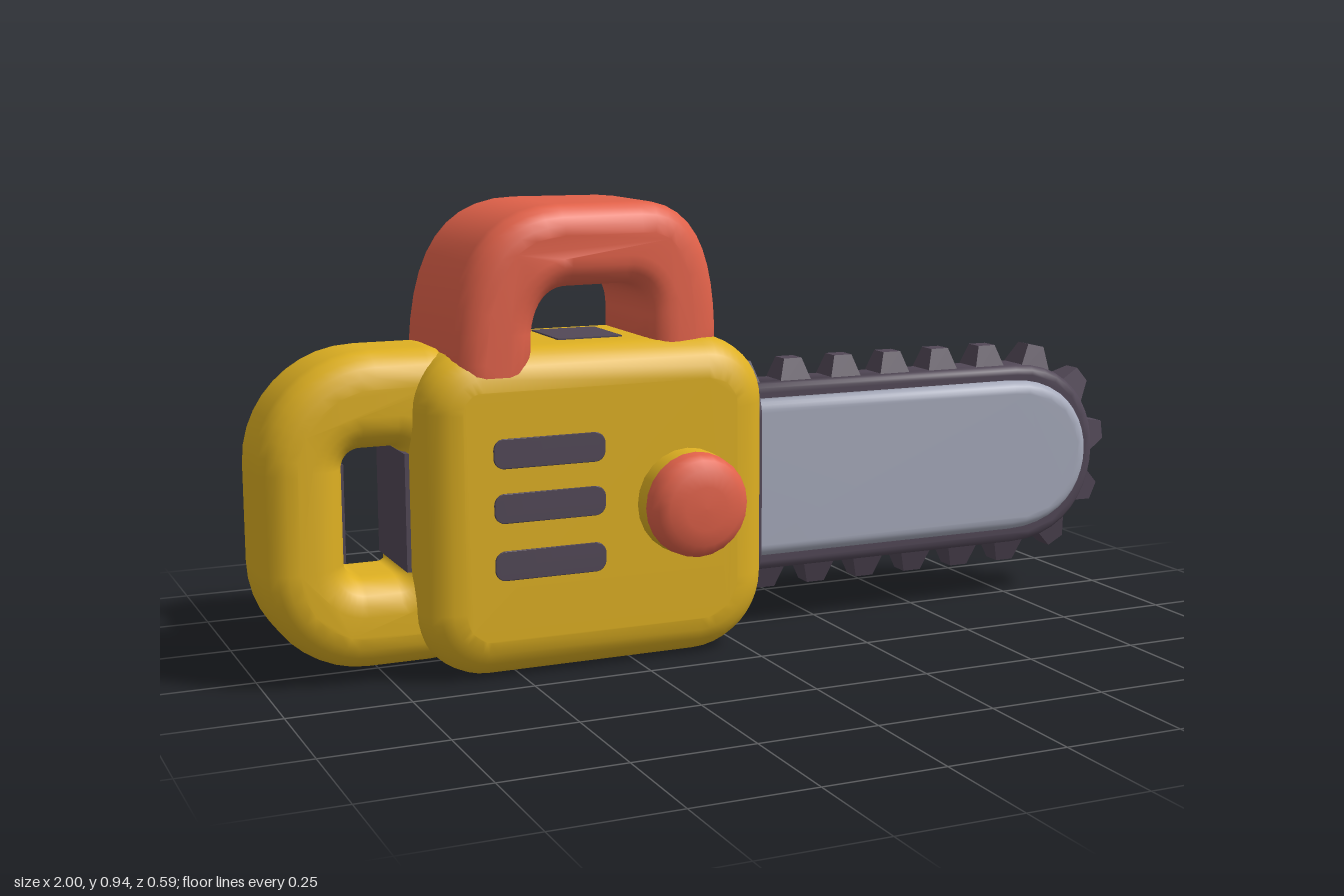
import * as THREE from 'three';
import { mergeVertices } from 'three/addons/utils/BufferGeometryUtils.js';

const material = (name, color) => {
  const m = new THREE.MeshStandardMaterial({ color });
  m.name = name;
  return m;
};

// Smooth, softly bevelled slab centred on z = 0; the outline is its widest section
function slab(shape, width, bevel, steps = 5) {
  const g = new THREE.ExtrudeGeometry(shape, {
    depth: width - 2 * bevel, bevelThickness: bevel, bevelSize: bevel,
    bevelOffset: -bevel, bevelSegments: steps, curveSegments: 10,
  });
  g.translate(0, 0, bevel - width / 2);
  g.deleteAttribute('uv');
  g.deleteAttribute('normal');
  const merged = mergeVertices(g, 1e-4);
  merged.computeVertexNormals();
  return merged;
}

// Rounded rectangle; radii run bottom left, bottom right, top right, top left
function roundRect(x0, y0, x1, y1, bl, br = bl, tr = bl, tl = bl, target = new THREE.Shape()) {
  const k = 0.45;
  target.moveTo(x0 + bl, y0);
  target.lineTo(x1 - br, y0);
  target.bezierCurveTo(x1 - br * k, y0, x1, y0 + br * k, x1, y0 + br);
  target.lineTo(x1, y1 - tr);
  target.bezierCurveTo(x1, y1 - tr * k, x1 - tr * k, y1, x1 - tr, y1);
  target.lineTo(x0 + tl, y1);
  target.bezierCurveTo(x0 + tl * k, y1, x0, y1 - tl * k, x0, y1 - tl);
  target.lineTo(x0, y0 + bl);
  target.bezierCurveTo(x0, y0 + bl * k, x0 + bl * k, y0, x0 + bl, y0);
  return target;
}

// Tongue outline with a rounded nose, traced from top left to bottom left
function tongue(x0, bend, tip, y0, y1) {
  const mid = (y0 + y1) / 2, cx = bend + (tip - bend) * 0.7, cy = (y1 - y0) * 0.24;
  const s = new THREE.Shape();
  s.moveTo(x0, y1);
  s.lineTo(bend, y1);
  s.bezierCurveTo(cx, y1, tip, mid + cy, tip, mid);
  s.bezierCurveTo(tip, mid - cy, cx, y0, bend, y0);
  s.lineTo(x0, y0);
  return s;
}

export function createModel() {
  const yellow = material('yellow casing', 0xdeb022);
  const red = material('red grip', 0xe2624a);
  const dark = material('dark chain', 0x524857);
  const steel = material('steel bar', 0xa7abbc);

  const model = new THREE.Group();
  model.name = 'chainsaw';
  const add = (name, geometry, mat, parent = model) => {
    const mesh = new THREE.Mesh(geometry, mat);
    mesh.name = name;
    parent.add(mesh);
    return mesh;
  };

  // Casing
  add('body', slab(roundRect(-0.70, 0, 0.05, 0.665, 0.14, 0.16, 0.14, 0.12), 0.39, 0.08), yellow);

  // Rear loop handle
  const loop = roundRect(-1, 0.025, -0.58, 0.665, 0.21, 0.08, 0.08, 0.23);
  loop.holes.push(roundRect(-0.83, 0.21, -0.71, 0.47, 0.035, 0.02, 0.02, 0.035, new THREE.Path()));
  add('rearHandle', slab(loop, 0.24, 0.07), yellow);

  // Dark faces inside the loop
  add('loopInnerFace', new THREE.BoxGeometry(0.008, 0.2, 0.12), dark).position.set(-0.829, 0.34, 0);
  add('bodyRearFace', new THREE.BoxGeometry(0.009, 0.24, 0.21), dark).position.set(-0.709, 0.34, 0);

  // Top handle: an arch that narrows towards the blade
  const arch = new THREE.Shape();
  arch.moveTo(-0.63, 0.54);
  arch.lineTo(-0.63, 0.64);
  arch.bezierCurveTo(-0.62, 0.84, -0.55, 0.945, -0.40, 0.945);
  arch.lineTo(-0.22, 0.945);
  arch.bezierCurveTo(-0.09, 0.945, -0.045, 0.84, -0.04, 0.68);
  arch.lineTo(-0.04, 0.58);
  arch.lineTo(-0.20, 0.58);
  arch.lineTo(-0.20, 0.71);
  arch.quadraticCurveTo(-0.20, 0.78, -0.26, 0.78);
  arch.lineTo(-0.38, 0.78);
  arch.quadraticCurveTo(-0.45, 0.78, -0.46, 0.69);
  arch.lineTo(-0.46, 0.54);
  const archGeometry = slab(arch, 0.38, 0.06);
  const p = archGeometry.attributes.position;
  for (let i = 0; i < p.count; i++) {
    const t = THREE.MathUtils.clamp((p.getX(i) + 0.45) / 0.41, 0, 1);
    p.setZ(i, p.getZ(i) * (1 - 0.3 * t));
  }
  archGeometry.computeVertexNormals();
  add('topHandle', archGeometry, red);

  // Slot on the top of the casing
  add('topSlot', new THREE.BoxGeometry(0.14, 0.008, 0.16), dark).position.set(-0.31, 0.664, 0);

  // Vents and round knobs on both sides
  const knobProfile = [[0.108, 0.235], [0.106, 0.258], [0.097, 0.276], [0.078, 0.288], [0.045, 0.294], [0, 0.295]]
    .map(([r, y]) => new THREE.Vector2(r, y));
  const knobGeometry = new THREE.LatheGeometry(knobProfile, 24);
  const stemGeometry = new THREE.CylinderGeometry(0.108, 0.11, 0.055, 24);
  stemGeometry.translate(0, 0.2075, 0);
  for (const side of [1, -1]) {
    const name = side > 0 ? 'front' : 'back';
    for (const y of [0.462, 0.352, 0.236]) {
      const vent = slab(roundRect(-0.56, y - 0.03, -0.325, y + 0.03, 0.022), 0.008, 0.001, 1);
      add(name + 'Vent', vent, dark).position.z = side * 0.195;
    }
    const knob = new THREE.Group();
    knob.name = name + 'Knob';
    knob.position.set(-0.145, 0.335, 0);
    knob.rotation.x = side * Math.PI / 2;
    add('knobStem', stemGeometry, yellow, knob);
    add('knobCap', knobGeometry, red, knob);
    model.add(knob);
  }

  // Dark mounting plate where the bar leaves the casing
  const mount = slab(roundRect(-0.135, 0.1, 0.135, 0.58, 0.1), 0.04, 0.006, 2);
  mount.rotateY(Math.PI / 2);
  add('barMount', mount, dark).position.x = 0.037;

  // Guide bar and the chain around it
  add('guideBar', slab(tongue(0.03, 0.72, 0.92, 0.165, 0.51), 0.165, 0.028), steel);
  const chainPath = tongue(0.04, 0.74, 0.955, 0.128, 0.543);
  add('chain', slab(chainPath, 0.11, 0.022, 3), dark);

  // Blunt teeth spaced evenly along the chain
  const toothGeometry = new THREE.CylinderGeometry(0.03, 0.063, 0.07, 4).rotateY(Math.PI / 4).toNonIndexed();
  toothGeometry.computeVertexNormals();
  const teeth = new THREE.Group();
  teeth.name = 'teeth';
  model.add(teeth);
  const length = chainPath.getLength();
  for (let i = 0; i < 17; i++) {
    const u = (0.02 + i * (length - 0.1) / 16) / length;
    const at = chainPath.getPointAt(u), dir = chainPath.getTangentAt(u);
    const tooth = add('tooth', toothGeometry, dark, teeth);
    tooth.position.set(at.x - dir.y * 0.01, at.y + dir.x * 0.01, 0);
    tooth.rotation.z = Math.atan2(dir.y, dir.x);
  }
  return model;
}
